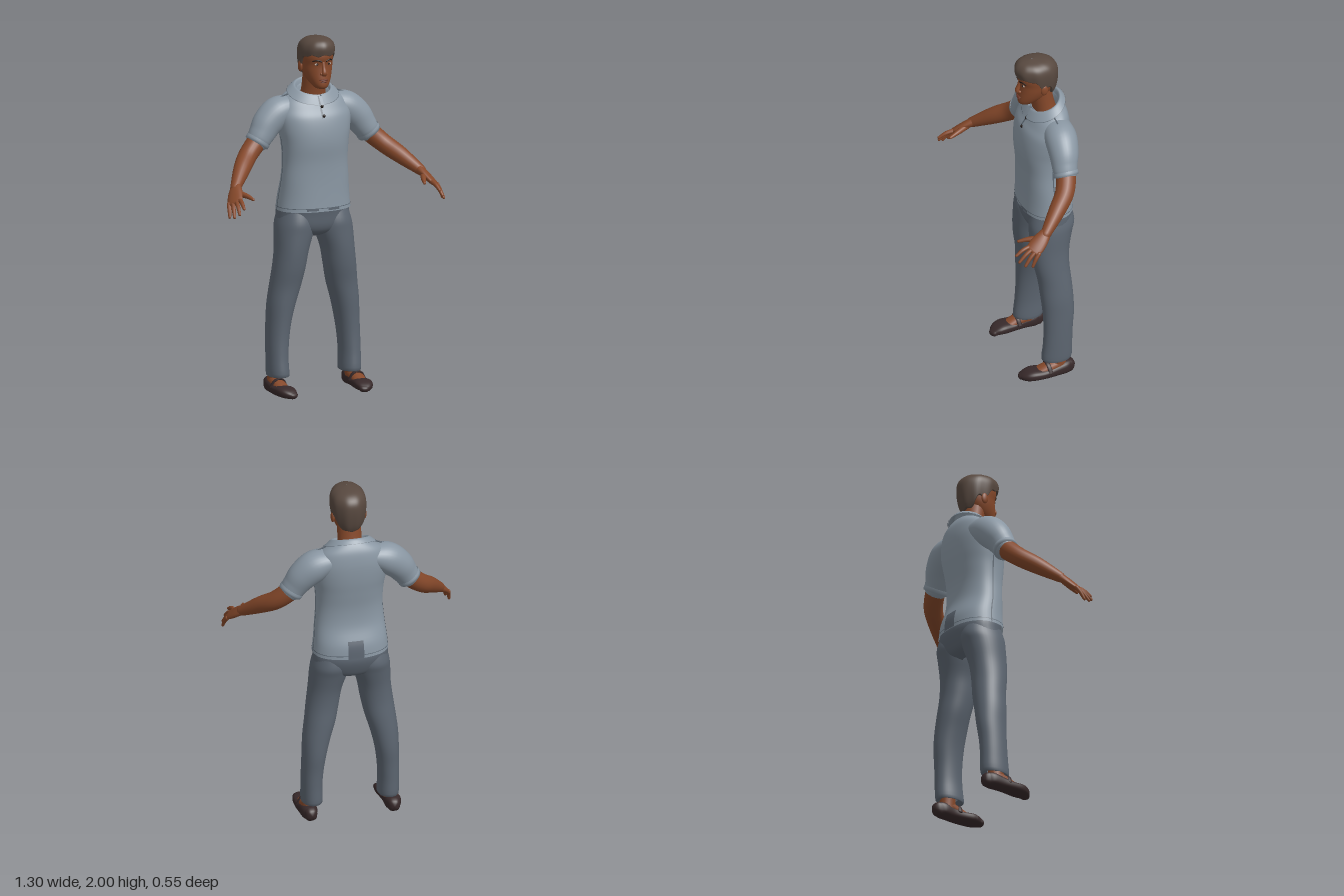
import * as THREE from 'three';

const mat = (name, color, side = THREE.FrontSide) => {
  const m = new THREE.MeshStandardMaterial({ color, side });
  m.name = name;
  return m;
};

// Smooth interpolation through table rows, t in 0..1
function sample(rows, t) {
  const f = Math.min(Math.max(t, 0), 1) * (rows.length - 1);
  const i = Math.min(Math.floor(f), rows.length - 2), u = f - i;
  const a = rows[Math.max(i - 1, 0)], b = rows[i], c = rows[i + 1], d = rows[Math.min(i + 2, rows.length - 1)];
  return b.map((_, k) => {
    const m0 = (c[k] - a[k]) / 2, m1 = (d[k] - b[k]) / 2, u2 = u * u, u3 = u2 * u;
    return (2 * u3 - 3 * u2 + 1) * b[k] + (u3 - 2 * u2 + u) * m0 + (3 * u2 - 2 * u3) * c[k] + (u3 - u2) * m1;
  });
}

// Indexed surface from fn(u, v); closed joins the last column to the first
function grid(fn, nu, nv, closed) {
  const pos = [], idx = [], cols = closed ? nu : nu + 1;
  for (let j = 0; j <= nv; j++)
    for (let i = 0; i < cols; i++) pos.push(...fn(i / nu, j / nv));
  for (let j = 0; j < nv; j++)
    for (let i = 0; i < nu; i++) {
      const i2 = (i + 1) % cols, a = j * cols + i, b = j * cols + i2, c = a + cols, d = b + cols;
      idx.push(a, c, b, b, c, d);
    }
  const g = new THREE.BufferGeometry();
  g.setAttribute('position', new THREE.Float32BufferAttribute(pos, 3));
  g.setIndex(idx);
  g.computeVertexNormals();
  return g;
}

const pw = (v, p) => Math.sign(v) * Math.abs(v) ** p;

// Point on a stack of level sections: [y, cx, rx, zFront, zBack, tilt]
function around(rows, t, a, p = 1, grow = 0) {
  const [y, cx, rx, zf, zb, tilt = 0] = sample(rows, t);
  const dz = ((zf - zb) / 2 + grow) * pw(Math.sin(a), p);
  return [cx + (rx + grow) * pw(Math.cos(a), p), y - tilt * dz, (zf + zb) / 2 + dz];
}
const loft = (rows, p = 1, nu = 40, per = 4) =>
  grid((u, v) => around(rows, v, u * Math.PI * 2, p), nu, (rows.length - 1) * per, true);
const patch = (rows, t0, t1, a0, a1, p, grow, nu = 12, nv = 12) =>
  grid((u, v) => around(rows, t0 + (t1 - t0) * v, a0 + (a1 - a0) * u, p, grow), nu, nv, false);

// Round-ended tube along rows [x, y, z, r1, r2]; r1 lies along ref
function limb(rows, ref = [0, 0, 1], nu = 20, p = 1) {
  const R = new THREE.Vector3(...ref), n = (rows.length - 1) * 5, cap = 4;
  return grid((u, v) => {
    const k = Math.round(v * (n + 2 * cap)) - cap;
    const over = k < 0 ? k / cap : k > n ? (k - n) / cap : 0;
    const t = Math.min(Math.max(k / n, 0), 1);
    const s = sample(rows, t), lo = sample(rows, t - 0.01), hi = sample(rows, t + 0.01);
    const T = new THREE.Vector3(hi[0] - lo[0], hi[1] - lo[1], hi[2] - lo[2]).normalize();
    const A = R.clone().addScaledVector(T, -R.dot(T)).normalize(), B = A.clone().cross(T);
    const shrink = Math.max(Math.cos(over * Math.PI / 2), 0.01), a = u * Math.PI * 2;
    return new THREE.Vector3(s[0], s[1], s[2])
      .addScaledVector(T, Math.sin(over * Math.PI / 2) * Math.min(s[3], s[4]))
      .addScaledVector(A, s[3] * shrink * pw(Math.cos(a), p))
      .addScaledVector(B, s[4] * shrink * pw(Math.sin(a), p)).toArray();
  }, nu, n + 2 * cap, true);
}

const blob = (x, y, z, rx, ry, rz) =>
  new THREE.SphereGeometry(1, 20, 14).scale(rx, ry, rz).translate(x, y, z);

function mirrored(g) {
  const m = g.clone().scale(-1, 1, 1), ix = m.index.array;
  for (let i = 0; i < ix.length; i += 3) [ix[i], ix[i + 1]] = [ix[i + 1], ix[i]];
  m.computeVertexNormals();
  return m;
}

export function createModel() {
  const model = new THREE.Group();
  const skin = mat('skin', 0x85482a), hair = mat('hair', 0x57483f), shirt = mat('shirt', 0x8a97a3, THREE.DoubleSide);
  const seam = mat('seam', 0x5c6772, THREE.DoubleSide), pants = mat('trousers', 0x5c6570, THREE.DoubleSide);
  const leather = mat('shoe leather', 0x37292a), lip = mat('lips', 0x6b3526);
  const white = mat('eye white', 0xb8aca4), dark = mat('dark detail', 0x1f1714);
  const add = (name, g, m) => {
    const mesh = new THREE.Mesh(g, m);
    mesh.name = name;
    model.add(mesh);
  };
  const pair = (name, g, m) => {
    add('left' + name, g, m);
    add('right' + name, mirrored(g), m);
  };

  // Shirt body
  const torso = [
    [1.025, 0, 0.212, 0.02, -0.27, 0], [1.1, 0, 0.204, 0.018, -0.262, 0], [1.2, 0, 0.194, 0.017, -0.228, 0],
    [1.3, 0, 0.187, 0.02, -0.222, 0], [1.4, 0, 0.192, 0.03, -0.235, 0], [1.48, 0, 0.205, 0.026, -0.247, 0],
    [1.55, 0, 0.212, 0.01, -0.252, 0], [1.6, 0, 0.202, -0.015, -0.25, 0.05], [1.645, 0, 0.178, -0.035, -0.24, 0.15],
    [1.675, 0, 0.135, -0.05, -0.222, 0.25], [1.69, 0, 0.1, -0.06, -0.205, 0.3], [1.66, 0, 0.08, -0.065, -0.195, 0.3]];
  const P = 0.87, front = Math.PI / 2, row = i => i / (torso.length - 1);
  add('shirtBody', loft(torso, P, 56, 5), shirt);
  pair('SideSeam', patch(torso, 0, row(4.5), -0.06, -0.02, P, 0.002, 1, 30), seam);
  add('placketSeam', patch(torso, row(6), row(9.5), front - 0.015, front + 0.015, P, 0.002, 2, 20), seam);
  add('backHemNotch', patch(torso, 0, row(1.3), -front - 0.17, -front + 0.17, P, 0.004), pants);
  pair('FrontHemGap', patch(torso, row(0.15), row(0.33), front - 0.42, front - 0.1, P, 0.003), pants);
  add('hemStitch', grid((u, v) => around(torso, row(0.32 + 0.05 * v), u * Math.PI * 2, P, 0.0015), 56, 1, true), seam);

  // Collar, open at the front
  const collar = [[1.685, 0, 0.093, -0.055, -0.2, 0.4], [1.708, 0, 0.102, -0.045, -0.208, 0.42],
    [1.697, 0, 0.12, -0.03, -0.222, 0.45], [1.672, 0, 0.147, -0.012, -0.238, 0.45]];
  add('collar', patch(collar, 0, 1, front + 0.12, front + Math.PI * 2 - 0.12, 1, 0, 48, 9), shirt);
  add('collarEdge', patch(collar, 0.96, 1, front + 0.12, front + Math.PI * 2 - 0.12, 1, 0.003, 48, 1), seam);
  [[1.61, -0.018], [1.56, 0.008]].forEach(([y, z]) => add('button', blob(0.008, y, z, 0.009, 0.009, 0.005), dark));

  // Sleeves with cuffs
  pair('Sleeve', limb([[0.12, 1.6, -0.15, 0.08, 0.065], [0.2, 1.572, -0.148, 0.09, 0.088],
    [0.265, 1.52, -0.14, 0.083, 0.085], [0.305, 1.465, -0.13, 0.072, 0.074], [0.325, 1.435, -0.126, 0.067, 0.068]],
    [0, 0, 1], 32), shirt);
  pair('SleeveCuff', grid((u, v) => {
    const a = u * Math.PI * 2, r = [0.055, 0.069, 0.071, 0.07][Math.round(v * 3)], d = [0.026, 0.026, 0.012, 0][Math.round(v * 3)];
    const h = r * Math.cos(a);
    return [0.326 + 0.55 * d + 0.83 * h, 1.434 - 0.83 * d + 0.55 * h, -0.126 + r * Math.sin(a)];
  }, 32, 3, true), shirt);
  pair('ShoulderSeam', limb([[0.1, 1.688, -0.13, 0.004, 0.004], [0.17, 1.664, -0.135, 0.004, 0.004],
    [0.23, 1.644, -0.14, 0.004, 0.004]], [0, 0, 1], 6), seam);

  // Arms and hands
  pair('Arm', limb([[0.28, 1.49, -0.135, 0.055, 0.055], [0.335, 1.425, -0.126, 0.056, 0.056],
    [0.41, 1.355, -0.09, 0.053, 0.052], [0.48, 1.295, -0.015, 0.046, 0.047], [0.56, 1.22, 0.08, 0.029, 0.029]]), skin);
  const across = [0.68, -0.35, -0.64];
  pair('Palm', limb([[0.55, 1.23, 0.07, 0.028, 0.026], [0.573, 1.202, 0.11, 0.042, 0.022],
    [0.593, 1.173, 0.15, 0.046, 0.018], [0.602, 1.16, 0.172, 0.042, 0.014]], across), skin);
  const tips = [[0.59, 1.142, 0.264], [0.612, 1.11, 0.254], [0.631, 1.09, 0.226], [0.642, 1.085, 0.187]];
  tips.forEach((tip, i) => {
    const k = -0.035 + i * 0.0235, base = [0.603, 1.162, 0.168].map((c, j) => c + across[j] * k);
    const mid = base.map((c, j) => (c + tip[j]) / 2 + (j === 1 ? 0.006 : 0));
    pair('Finger', limb([[...base, 0.0125, 0.0125], [...mid, 0.0115, 0.0115], [...tip, 0.008, 0.008]], across, 10), skin);
  });
  pair('Thumb', limb([[0.562, 1.2, 0.11, 0.02, 0.018], [0.533, 1.192, 0.175, 0.014, 0.014],
    [0.517, 1.18, 0.224, 0.008, 0.008]], across, 12), skin);

  // Trousers
  add('trouserSeat', loft([[0.875, 0, 0.04, -0.07, -0.17], [0.9, 0, 0.14, -0.025, -0.225], [0.94, 0, 0.205, -0.004, -0.25],
    [1.0, 0, 0.21, 0.003, -0.268], [1.05, 0, 0.205, 0.008, -0.262], [1.1, 0, 0.19, 0, -0.24]], 0.9), pants);
  pair('TrouserLeg', loft([[0.115, 0.217, 0.04, -0.07, -0.16], [0.1, 0.216, 0.058, -0.032, -0.2], [0.2, 0.218, 0.058, -0.04, -0.205],
    [0.3, 0.214, 0.061, -0.045, -0.21], [0.4, 0.205, 0.067, -0.043, -0.22], [0.5, 0.191, 0.077, -0.036, -0.22],
    [0.6, 0.17, 0.086, -0.028, -0.216], [0.7, 0.153, 0.09, -0.01, -0.21], [0.8, 0.138, 0.093, 0, -0.217],
    [0.9, 0.119, 0.106, 0.002, -0.24], [0.96, 0.112, 0.104, 0.0, -0.255], [1.03, 0.105, 0.09, -0.02, -0.24]], 0.95), pants);

  // Feet and shoes
  pair('Ankle', limb([[0.228, 0.17, -0.12, 0.045, 0.04], [0.232, 0.1, -0.12, 0.045, 0.04], [0.235, 0.05, -0.12, 0.05, 0.04]]), skin);
  pair('Instep', limb([[0.234, 0.075, -0.12, 0.04, 0.035], [0.236, 0.058, -0.06, 0.04, 0.032],
    [0.234, 0.04, 0.0, 0.04, 0.024]], [1, 0, 0]), skin);
  const shoe = [[-0.18, 0.235, 0.035, 0.08], [-0.15, 0.237, 0.046, 0.082], [-0.09, 0.24, 0.046, 0.068], [-0.03, 0.239, 0.05, 0.058],
    [0.03, 0.233, 0.053, 0.06], [0.065, 0.223, 0.045, 0.05], [0.09, 0.212, 0.027, 0.034]];
  pair('Shoe', limb(shoe.map(([z, x, w, h]) => [x, h / 2 + 0.005, z, w, h / 2]), [1, 0, 0], 28, 0.75), leather);
  pair('ShoeStrap', limb([[0.19, 0.045, -0.06, 0.013, 0.006], [0.208, 0.08, -0.055, 0.013, 0.006],
    [0.236, 0.093, -0.05, 0.013, 0.006], [0.264, 0.08, -0.055, 0.013, 0.006], [0.284, 0.045, -0.06, 0.013, 0.006]],
    [0, 0, 1], 10), leather);

  // Neck and head
  add('neck', limb([[0, 1.62, -0.135, 0.068, 0.078], [0, 1.7, -0.118, 0.062, 0.068], [0, 1.8, -0.1, 0.064, 0.066]]), skin);
  add('head', loft([[1.712, 0, 0.006, 0, -0.03], [1.718, 0, 0.03, 0.018, -0.06], [1.735, 0, 0.047, 0.027, -0.09],
    [1.77, 0, 0.067, 0.025, -0.14], [1.81, 0, 0.08, 0.02, -0.17], [1.85, 0, 0.085, 0.018, -0.185],
    [1.89, 0, 0.088, 0.027, -0.185], [1.93, 0, 0.084, 0.018, -0.175], [1.97, 0, 0.05, -0.02, -0.13]], 0.95), skin);
  add('nose', limb([[0, 1.868, 0.014, 0.009, 0.01], [0, 1.835, 0.023, 0.01, 0.011], [0, 1.808, 0.031, 0.013, 0.015],
    [0, 1.797, 0.027, 0.01, 0.015]]), skin);
  pair('Nostril', blob(0.014, 1.802, 0.02, 0.009, 0.009, 0.011), skin);
  add('upperLip', blob(0, 1.767, 0.022, 0.026, 0.006, 0.011), lip);
  add('lowerLip', blob(0, 1.756, 0.022, 0.021, 0.006, 0.01), lip);
  pair('Eye', blob(0.036, 1.855, 0.009, 0.014, 0.006, 0.005), white);
  pair('Iris', blob(0.035, 1.855, 0.012, 0.006, 0.006, 0.004), dark);
  pair('Eyebrow', limb([[0.015, 1.872, 0.024, 0.003, 0.004], [0.038, 1.879, 0.017, 0.003, 0.004],
    [0.058, 1.872, 0.002, 0.003, 0.003]], [0, 0, 1], 8), dark);
  pair('Ear', blob(0.09, 1.832, -0.095, 0.011, 0.031, 0.021), skin);

  // Hair cap with a short fringe, sideburns and a low nape
  const cap = [[1.76, 0, 0.068, 0.02, -0.172], [1.8, 0, 0.084, 0.02, -0.19], [1.85, 0, 0.094, 0.026, -0.2],
    [1.9, 0, 0.099, 0.036, -0.203], [1.94, 0, 0.097, 0.043, -0.197], [1.97, 0, 0.083, 0.032, -0.175],
    [1.99, 0, 0.053, 0.005, -0.135], [2.0, 0, 0.002, -0.05, -0.06]];
  const edge = [[0.35], [0.8], [2.0], [1.7], [2.9], [3.05], [3.1]];
  add('hair', grid((u, v) => {
    const a = u * Math.PI * 2, t0 = (sample(edge, (Math.sin(a) + 1) / 2)[0] + 0.12 * Math.sin(a * 9)) / 7;
    const t = t0 + (1 - t0) * Math.max(0, (v - 0.05) / 0.95);
    return around(cap, t, a, 0.97, v === 0 ? -0.018 : 0.002 * Math.sin(a * 9) * (1 - v));
  }, 64, 28, true), hair);

  return model;
}
